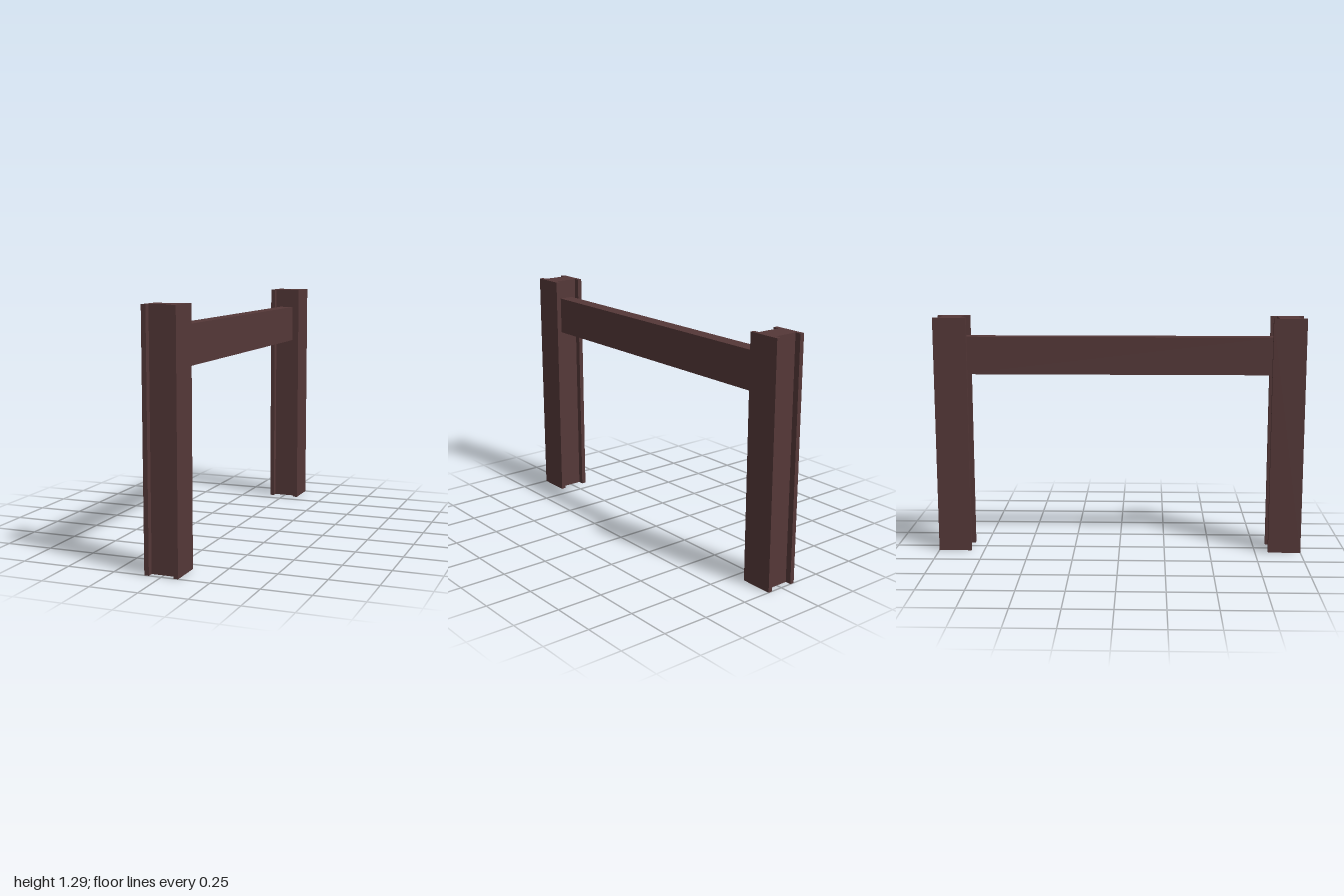
import * as THREE from 'three';

const HEIGHT = 1.29;
const HALF_WIDTH = 0.088;   // outer face of the flanges
const FLANGE_IN = 0.064;    // inner face of the flanges
const HALF_DEPTH = 0.089;   // flange half depth
const WEB = 0.057;          // web half thickness
const POST_Z = 0.911;

// H-shaped section, extruded upwards
function postGeometry() {
  const quarter = [[HALF_WIDTH, HALF_DEPTH], [FLANGE_IN, HALF_DEPTH], [FLANGE_IN, WEB]];
  const mirrored = (sx, sy) => quarter.map(([x, y]) => new THREE.Vector2(x * sx, y * sy));
  const section = new THREE.Shape([
    ...mirrored(1, 1),
    ...mirrored(-1, 1).reverse(),
    ...mirrored(-1, -1),
    ...mirrored(1, -1).reverse(),
  ]);
  const geometry = new THREE.ExtrudeGeometry(section, { depth: HEIGHT, bevelEnabled: false });
  return geometry.rotateX(-Math.PI / 2);
}

export function createModel() {
  const group = new THREE.Group();
  group.name = 'beamFrame';
  const material = new THREE.MeshStandardMaterial({ color: 0x553838 });

  // Two upright posts
  const geometry = postGeometry();
  for (const [name, side] of [['frontPost', 1], ['backPost', -1]]) {
    const post = new THREE.Mesh(geometry, material);
    post.name = name;
    post.position.z = side * POST_Z;
    group.add(post);
  }

  // Crossbeam running between the post webs
  const beamLength = 2 * (POST_Z - WEB);
  const beam = new THREE.Mesh(new THREE.BoxGeometry(0.08, 0.204, beamLength), material);
  beam.name = 'crossbeam';
  beam.position.y = 1.083;
  group.add(beam);

  return group;
}
